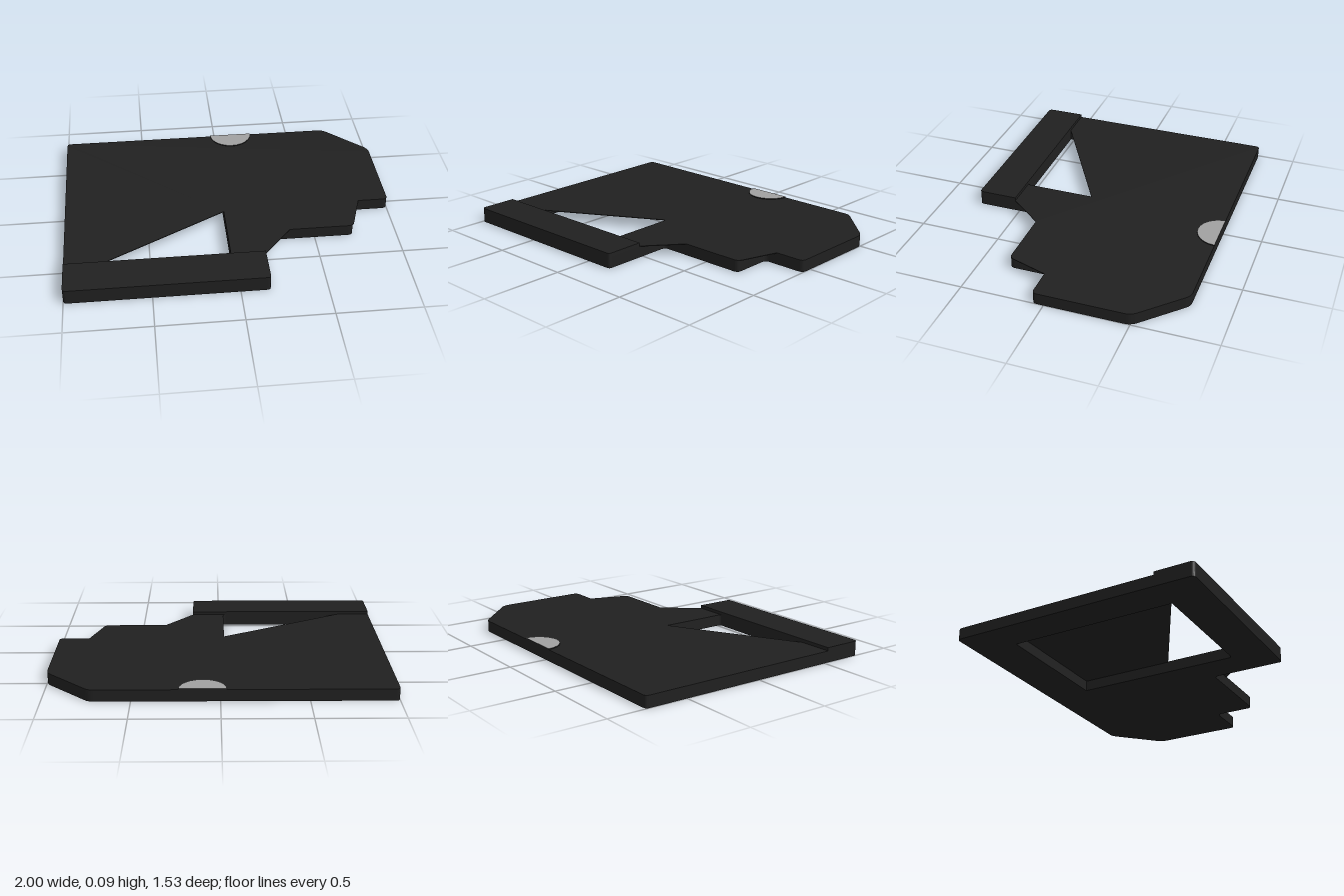
import * as THREE from 'three';

const dark = new THREE.MeshStandardMaterial({ color: 0x202020 });
const grey = new THREE.MeshStandardMaterial({ color: 0xa0a0a0 });

// Traces [x, z, cornerRadius] points into a closed path (path y = -z)
function trace(path, points) {
  const n = points.length;
  const at = (i) => new THREE.Vector2(points[(i + n) % n][0], -points[(i + n) % n][1]);
  for (let i = 0; i < n; i++) {
    const p = at(i), r = points[i][2] || 0;
    const a = p.clone().add(at(i - 1).sub(p).setLength(r));
    const b = p.clone().add(at(i + 1).sub(p).setLength(r));
    if (i === 0) path.moveTo(a.x, a.y);
    else path.lineTo(a.x, a.y);
    if (r > 0) path.quadraticCurveTo(p.x, p.y, b.x, b.y);
  }
  path.closePath();
  return path;
}

// Horizontal slab of a shape between two heights
function slab(name, shape, y0, y1, material) {
  const geometry = new THREE.ExtrudeGeometry(shape, { depth: y1 - y0, bevelEnabled: false, curveSegments: 6 });
  geometry.rotateX(-Math.PI / 2);
  geometry.translate(0, y0, 0);
  const mesh = new THREE.Mesh(geometry, material);
  mesh.name = name;
  return mesh;
}

// Plate outline, clockwise from above; the notch points shape its front right side
function outline(notches) {
  return trace(new THREE.Shape(), [
    [-1, -0.765, 0.025], [0.735, -0.765, 0.03], [1, -0.505, 0.04], [1, 0.068, 0.03],
    ...notches, [0.172, 0.765, 0.02], [-1, 0.765, 0.025],
  ]);
}

export function createModel() {
  const group = new THREE.Group();
  group.name = 'plate';
  const skinY = 0.066, topY = 0.07;

  // Lower body with square notches, open where the underside pocket is
  const lower = outline([[0.735, 0.068, 0.03], [0.735, 0.315, 0.03], [0.172, 0.315, 0.03]]);
  lower.holes.push(trace(new THREE.Path(), [[-0.79, 0.525], [-0.03, 0.525, 0.02], [-0.03, -0.5], [-0.79, -0.5]]));
  group.add(slab('body', lower, 0, skinY, dark));

  // Thin top skin: triangular window, slanted webs across the notches
  const upper = outline([[0.815, 0.068], [0.735, 0.315, 0.03], [0.345, 0.315], [0.172, 0.525]]);
  upper.holes.push(trace(new THREE.Path(), [[-0.79, 0.525], [-0.03, 0.525, 0.02], [-0.03, 0.095]]));
  group.add(slab('topSkin', upper, skinY, topY, dark));

  // Raised rail along the front
  const rail = trace(new THREE.Shape(), [
    [-1, 0.525], [0.172, 0.525], [0.172, 0.765, 0.02], [-1, 0.765, 0.025],
  ]);
  group.add(slab('frontRail', rail, topY, 0.09, dark));

  // Half-round button at the back edge: grey top, dark rim
  const button = new THREE.Shape();
  button.absarc(0.1, 0.765, 0.135, Math.PI, Math.PI * 2, false);
  button.closePath();
  group.add(slab('halfRoundButton', button, topY, 0.076, [grey, dark]));

  return group;
}
